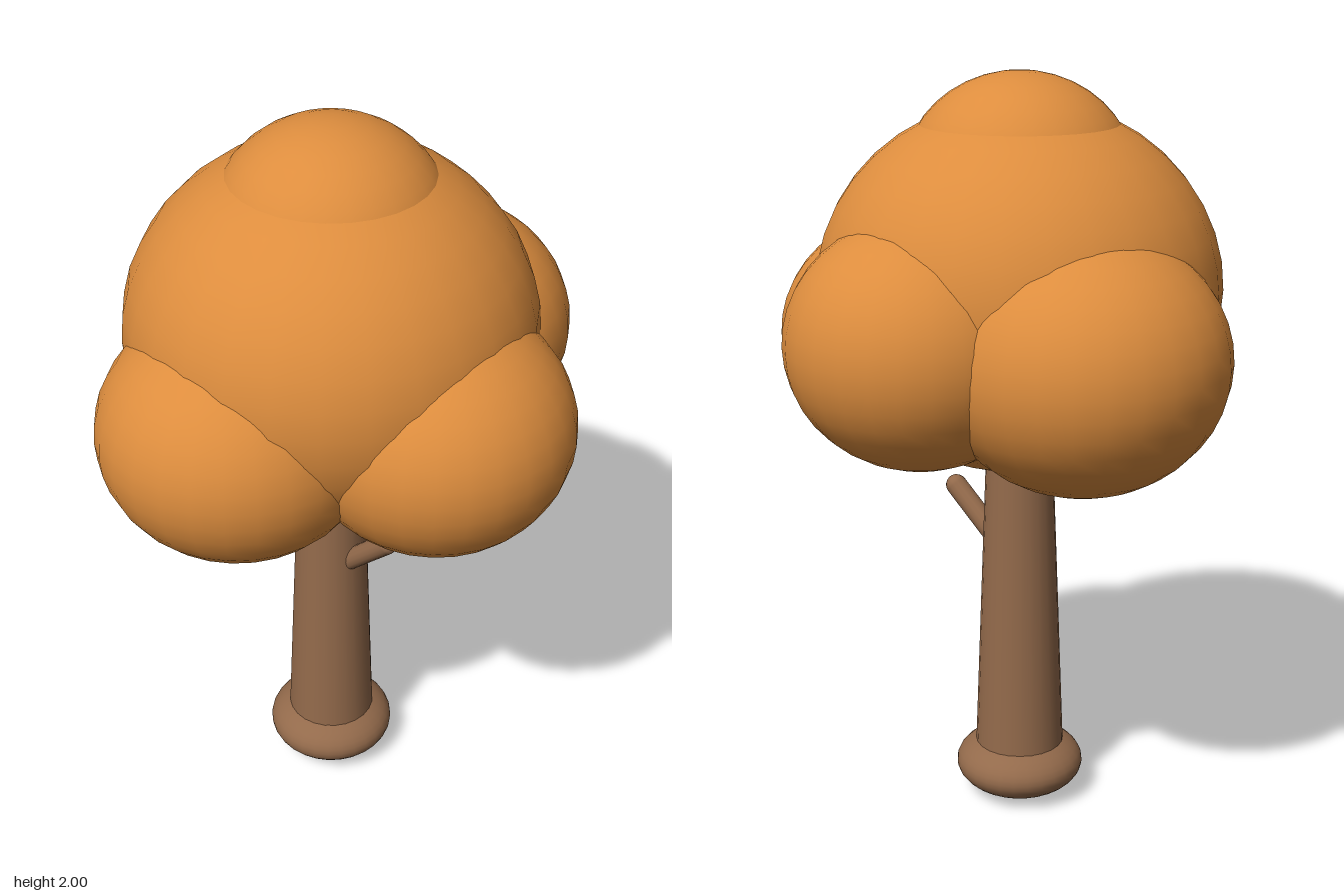
import * as THREE from 'three';

export function createModel() {
  const tree = new THREE.Group();
  tree.name = 'tree';

  const leafOrange = new THREE.MeshStandardMaterial({ color: 0xdd8d3e });
  leafOrange.name = 'leafOrange';
  const barkBrown = new THREE.MeshStandardMaterial({ color: 0x936a4b });
  barkBrown.name = 'barkBrown';

  const add = (name, geometry, material, x, y, z, parent = tree) => {
    const mesh = new THREE.Mesh(geometry, material);
    mesh.name = name;
    mesh.position.set(x, y, z);
    parent.add(mesh);
    return mesh;
  };

  // Slightly flattened leaf clumps: name, centre, horizontal and vertical radius
  const foliage = new THREE.Group();
  foliage.name = 'foliage';
  tree.add(foliage);
  const ball = new THREE.SphereGeometry(1, 28, 20);
  const clumps = [
    ['mainClump', 0, 1.45, 0, 0.525, 0.48],
    ['topClump', 0, 1.725, 0, 0.3, 0.275],
    ['frontClump', 0.045, 1.28, 0.315, 0.355, 0.317],
    ['backClump', 0.02, 1.355, -0.335, 0.342, 0.317],
    ['leftClump', 0.33, 1.295, -0.08, 0.35, 0.315],
    ['rightClump', -0.31, 1.325, -0.1, 0.371, 0.335],
  ];
  for (const [name, x, y, z, r, h] of clumps) {
    add(name, ball, leafOrange, x, y, z, foliage).scale.set(r, h, r);
  }

  // Tapered trunk running up into the foliage
  const bottom = 0.06, top = 1.15;
  add('trunk', new THREE.CylinderGeometry(0.084, 0.125, top - bottom, 24), barkBrown,
    0, (top + bottom) / 2, 0);

  // Swollen root collar
  add('rootCollar', ball, barkBrown, 0, 0.09, 0).scale.set(0.176, 0.09, 0.176);

  // Short rounded branch stub
  const start = new THREE.Vector3(0.05, 0.704, 0);
  const end = new THREE.Vector3(0.213, 0.863, -0.03);
  const axis = end.clone().sub(start);
  const middle = start.clone().add(end).multiplyScalar(0.5);
  const branch = add('branch', new THREE.CapsuleGeometry(0.029, axis.length(), 6, 14), barkBrown,
    middle.x, middle.y, middle.z);
  branch.quaternion.setFromUnitVectors(new THREE.Vector3(0, 1, 0), axis.normalize());

  return tree;
}
